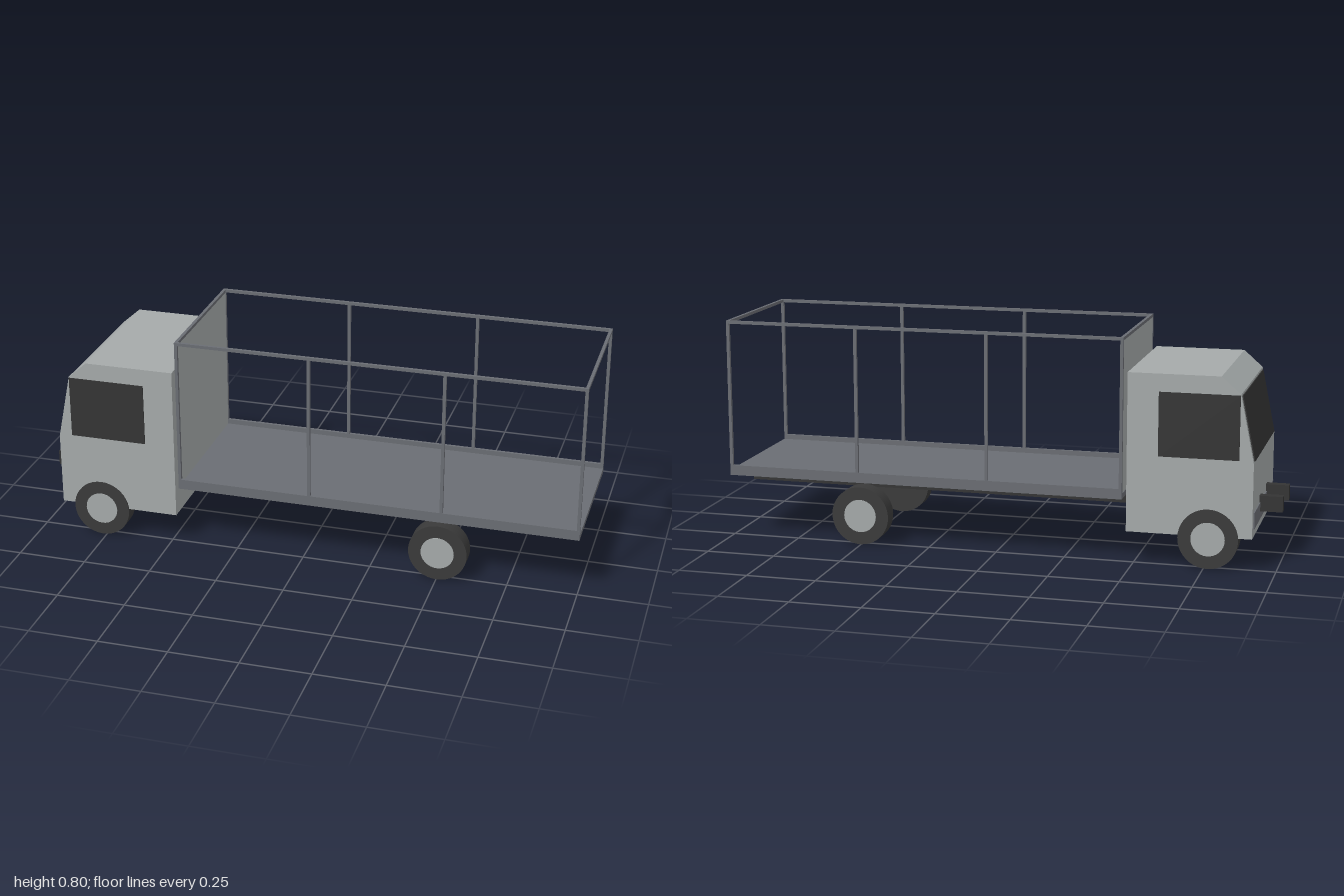
import * as THREE from 'three';

const mat = (name, color) => {
  const m = new THREE.MeshStandardMaterial({ color });
  m.name = name;
  return m;
};

export function createModel() {
  const paint = mat('lightGreyPaint', 0xa5aaaa);
  const steel = mat('bodySteel', 0x6a6d73);
  const dark = mat('darkGlassAndChassis', 0x343434);
  const rubber = mat('tyreRubber', 0x3a3a3a);

  const truck = new THREE.Group();
  truck.name = 'flatbedTruck';
  truck.position.z = 0.002;

  const add = (name, geometry, material) => {
    const mesh = new THREE.Mesh(geometry, material);
    mesh.name = name;
    truck.add(mesh);
    return mesh;
  };
  // Box given by its limits on each axis
  const box = (name, material, x0, x1, y0, y1, z0, z1) => {
    const mesh = add(name, new THREE.BoxGeometry(x1 - x0, y1 - y0, z1 - z0), material);
    mesh.position.set((x0 + x1) / 2, (y0 + y1) / 2, (z0 + z1) / 2);
    return mesh;
  };

  // Cab: side profile extruded across the width
  const W = 0.272;
  const profile = [[-0.917, 0.115], [-0.475, 0.115], [-0.475, 0.68], [-0.8, 0.68], [-0.868, 0.62], [-0.917, 0.38]];
  const cab = new THREE.ExtrudeGeometry(
    new THREE.Shape(profile.map(([x, y]) => new THREE.Vector2(x, y))),
    { depth: 2 * W, bevelEnabled: false });
  cab.translate(0, 0, -W);
  add('cab', cab, paint);

  // Windscreen lies on the sloping front
  const slope = Math.atan2(0.049, 0.24);
  const screen = add('windscreen', new THREE.BoxGeometry(0.006, 0.232, 0.51), dark);
  screen.position.set(-0.8935, 0.5, 0);
  screen.rotation.z = -slope;

  // Front bumper panel
  box('bumperPanel', steel, -0.921, -0.915, 0.145, 0.205, -0.25, 0.25);

  // Ladder chassis
  for (const s of [-1, 1]) {
    box('chassisRail', dark, -1, 0.98, 0.174, 0.23, s * 0.088 - 0.0155, s * 0.088 + 0.0155);
  }

  // Load bed and headboard
  const H = 0.277, T = 0.011, X0 = -0.46, X1 = 1;
  box('bedFloor', steel, X0, X1, 0.229, 0.248, -H, H);
  box('headboard', paint, X0 + 0.002, X0 + 0.009, 0.248, 0.79, -H + T, H - T);

  // Open cage: sills, top rails and posts on both sides
  const postX = [X0, 0.024, 0.506, X1 - T];
  for (const s of [-1, 1]) {
    const z0 = s > 0 ? H - T : -H, z1 = z0 + T;
    box('sideSill', steel, X0, X1, 0.246, 0.266, z0, z1);
    box('topSideRail', steel, X0, X1, 0.8 - T, 0.8, z0, z1);
    for (const x of postX) box('post', steel, x, x + T, 0.248, 0.8 - T, z0, z1);
  }
  for (const x of [X0, X1 - T]) box('topCrossRail', steel, x, x + T, 0.8 - T, 0.8, -H + T, H - T);

  // Door windows and wheels
  for (const s of [-1, 1]) {
    const win = box('sideWindow', dark, -0.867, -0.585, 0.39, 0.617, -0.003, 0.003);
    win.position.z = s * W;
    for (const x of [-0.764, 0.502]) {
      const tyre = add('tyre', new THREE.CylinderGeometry(0.106, 0.106, 0.061, 40), rubber);
      tyre.rotation.x = Math.PI / 2;
      tyre.position.set(x, 0.106, s * 0.2455);
      const hub = add('hub', new THREE.CylinderGeometry(0.06, 0.06, 0.006, 32), paint);
      hub.rotation.x = Math.PI / 2;
      hub.position.set(x, 0.106, s * 0.275);
    }
  }

  const model = new THREE.Group();
  model.name = 'truck';
  model.add(truck);
  return model;
}
